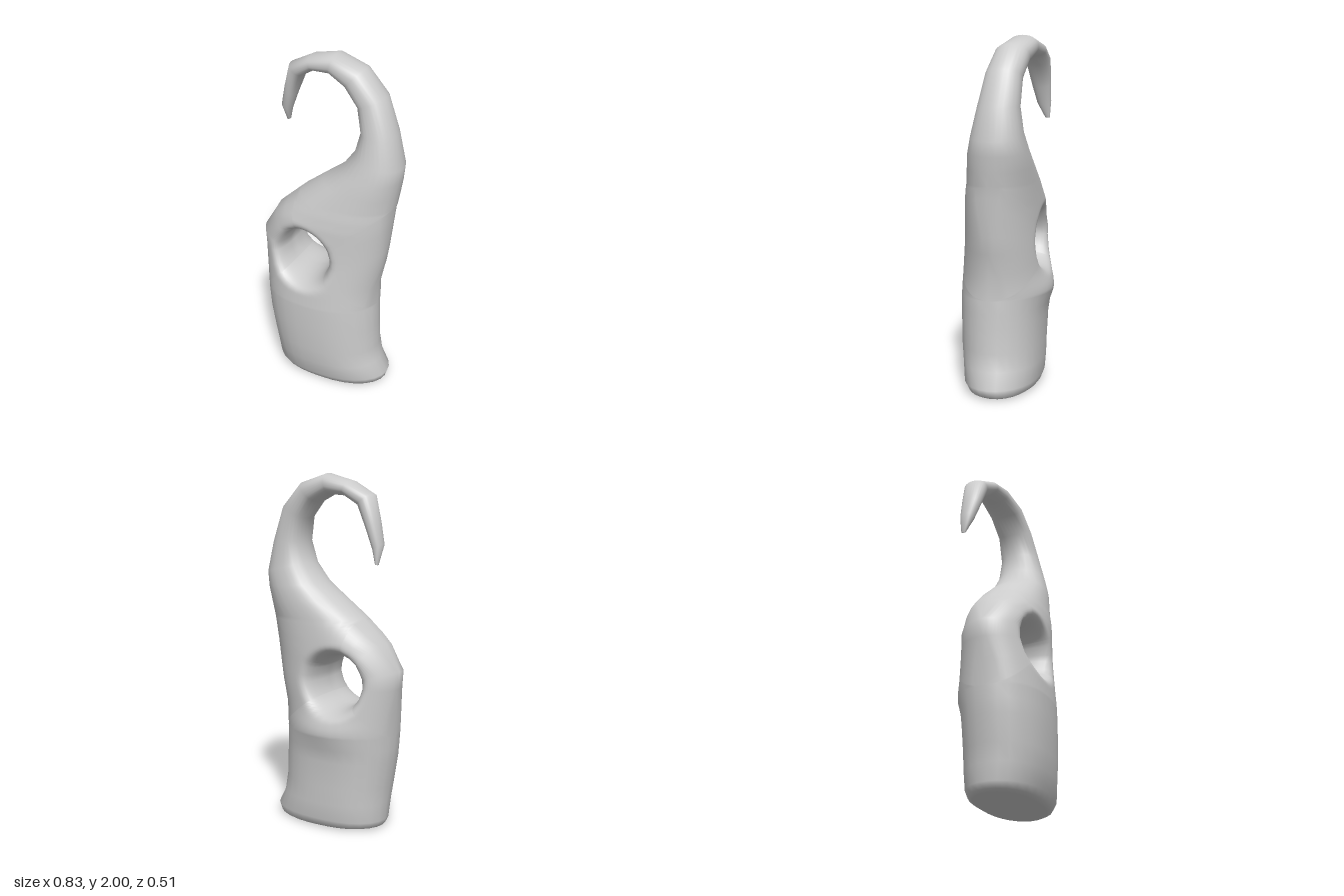
import * as THREE from 'three';
import { mergeVertices } from 'three/addons/utils/BufferGeometryUtils.js';

// Sections: [inner x, inner y, outer x, outer y, front z, back z]
const base = [
  [-0.28, 0.005, 0.33, 0.0, 0.16, -0.17],
  [-0.315, 0.015, 0.36, 0.015, 0.19, -0.19],
  [-0.33, 0.05, 0.375, 0.06, 0.215, -0.205],
  [-0.335, 0.15, 0.33, 0.15, 0.235, -0.21],
  [-0.348, 0.25, 0.315, 0.25, 0.247, -0.21],
  [-0.372, 0.4, 0.31, 0.4, 0.253, -0.213],
  [-0.379, 0.475, 0.307, 0.475, 0.254, -0.216],
  [-0.385, 0.55, 0.305, 0.55, 0.255, -0.22],
];
// Level sections around the eye
const middle = [
  base[base.length - 1],
  [-0.393, 0.68, 0.305, 0.68, 0.245, -0.22],
  [-0.405, 0.82, 0.335, 0.82, 0.228, -0.216],
  [-0.415, 0.92, 0.352, 0.92, 0.22, -0.21],
  [-0.33, 1.07, 0.37, 1.07, 0.208, -0.203],
  [-0.255, 1.14, 0.378, 1.14, 0.195, -0.199],
  [-0.19, 1.2, 0.385, 1.2, 0.18, -0.196],
];
const hook = [
  middle[middle.length - 1],
  [-0.047, 1.31, 0.395, 1.27, 0.16, -0.192],
  [0.06, 1.39, 0.408, 1.36, 0.142, -0.186],
  [0.14, 1.5, 0.414, 1.44, 0.115, -0.17],
  [0.17, 1.62, 0.37, 1.62, 0.08, -0.152],
  [0.14, 1.75, 0.295, 1.82, 0.05, -0.152],
  [0.06, 1.84, 0.165, 1.95, 0.03, -0.165],
  [-0.04, 1.885, -0.01, 2.0, 0.0, -0.175],
  [-0.14, 1.88, -0.17, 1.96, -0.015, -0.185],
  [-0.225, 1.83, -0.305, 1.89, -0.037, -0.18],
  [-0.28, 1.7, -0.345, 1.75, -0.06, -0.172],
  [-0.318, 1.6, -0.374, 1.63, -0.083, -0.165],
  [-0.34, 1.525, -0.356, 1.52, -0.13, -0.157],
];
const HALF = 14; // steps across one face of a section
const EYE = { x: -0.095, y: 0.85, r: 0.147, rim: 0.08 };

// Rounded thickness across a section, s running from -1 to 1, fuller on the inner side
function bulge(s) {
  const power = s < 0 ? 2.7 : 2.3;
  return Math.sqrt(Math.max(0, 1 - Math.pow(Math.min(1, Math.abs(s)), power)));
}

// Depth of one face: side 1 is the front, -1 the back with a low swelling under the eye
function depth(x, y, s, side, zf, zb) {
  const swell = side < 0 ? 0.035 * Math.exp(-(((x + 0.06) / 0.2) ** 2) - ((y - 0.57) / 0.09) ** 2) : 0;
  return side * ((zf - zb) / 2 + swell) * bulge(s);
}

function ring([xi, yi, xo, yo, zf, zb]) {
  const pts = [];
  for (let k = 0; k <= 2 * HALF; k++) {
    const s = Math.cos((k / HALF) * Math.PI);
    const x = (xi + xo) / 2 + ((xo - xi) / 2) * s;
    const y = (yi + yo) / 2 + ((yo - yi) / 2) * s;
    pts.push([x, y, (zf + zb) / 2 + depth(x, y, s, k <= HALF ? 1 : -1, zf, zb)]);
  }
  return pts;
}

// Section of the middle block at height y
function sectionAt(y) {
  let i = 0;
  while (i < middle.length - 2 && y > middle[i + 1][1]) i++;
  const a = middle[i], b = middle[i + 1];
  const t = THREE.MathUtils.clamp((y - a[1]) / (b[1] - a[1]), 0, 1);
  return a.map((v, n) => v + (b[n] - v) * t);
}

// Rays from the eye's edge to the block's outline, for one face
function eyeGrid(side) {
  const across = (r) => ring(r).slice(0, HALF + 1);
  const outline = [
    ...across(middle[0]).reverse(),
    ...middle.slice(1, -1).map((r) => [r[2], r[3]]),
    ...across(middle[middle.length - 1]),
    ...middle.slice(1, -1).reverse().map((r) => [r[0], r[1]]),
  ];
  outline.push(outline[0]);
  const rows = [];
  const steps = 20;
  for (let j = 0; j <= steps; j++) {
    const u = j / steps;
    rows.push(outline.map(([px, py]) => {
      const len = Math.hypot(px - EYE.x, py - EYE.y);
      // rays towards the sides are also denser at the outer edge
      const sideways = (Math.abs(px - EYE.x) / len) ** 4;
      const t = THREE.MathUtils.lerp(u * u, (1 - Math.cos(u * Math.PI)) / 2, sideways);
      const d = EYE.r + (len - EYE.r) * t;
      const x = EYE.x + ((px - EYE.x) / len) * d;
      const y = EYE.y + ((py - EYE.y) / len) * d;
      const [xi, , xo, , zf, zb] = sectionAt(y);
      const s = (x - (xi + xo) / 2) / ((xo - xi) / 2);
      // soft rim rolling into a steep-walled eye
      const e = Math.min(1, (d - EYE.r) / EYE.rim);
      const roll = Math.pow(Math.max(0, 1 - (1 - e) ** 2.5), 1 / 2.5);
      return [x, y, (zf + zb) / 2 + depth(x, y, s, side, zf, zb) * roll];
    }));
  }
  return rows;
}

function createModel() {
  const pos = [];
  const tri = (a, b, c) => pos.push(...a, ...b, ...c);
  const skin = (rows, flip = false) => {
    for (let i = 0; i < rows.length - 1; i++) {
      for (let k = 0; k < rows[i].length - 1; k++) {
        const a = rows[i][k], b = rows[i + 1][k], c = rows[i + 1][k + 1], d = rows[i][k + 1];
        if (flip) { tri(a, c, b); tri(a, d, c); } else { tri(a, b, c); tri(a, c, d); }
      }
    }
  };
  const cap = (section, flip) => {
    const [xi, yi, xo, yo, zf, zb] = section;
    const mid = [(xi + xo) / 2, (yi + yo) / 2, (zf + zb) / 2];
    const pts = ring(section);
    for (let k = 0; k < pts.length - 1; k++) {
      if (flip) tri(mid, pts[k + 1], pts[k]); else tri(mid, pts[k], pts[k + 1]);
    }
  };

  // foot, eye block and hook share one continuous skin
  cap(base[0], false);
  skin(base.map(ring));
  skin(eyeGrid(1));
  skin(eyeGrid(-1), true);
  skin(hook.map(ring));
  cap(hook[hook.length - 1], true);

  let geometry = new THREE.BufferGeometry();
  geometry.setAttribute('position', new THREE.Float32BufferAttribute(pos, 3));
  geometry = mergeVertices(geometry, 1e-4);
  geometry.computeVertexNormals();

  const body = new THREE.Mesh(geometry, new THREE.MeshStandardMaterial({ color: 0xcccccc }));
  body.name = 'hookedBodyWithEye';
  const group = new THREE.Group();
  group.name = 'hookedPendant';
  group.add(body);
  return group;
}

export { createModel };
